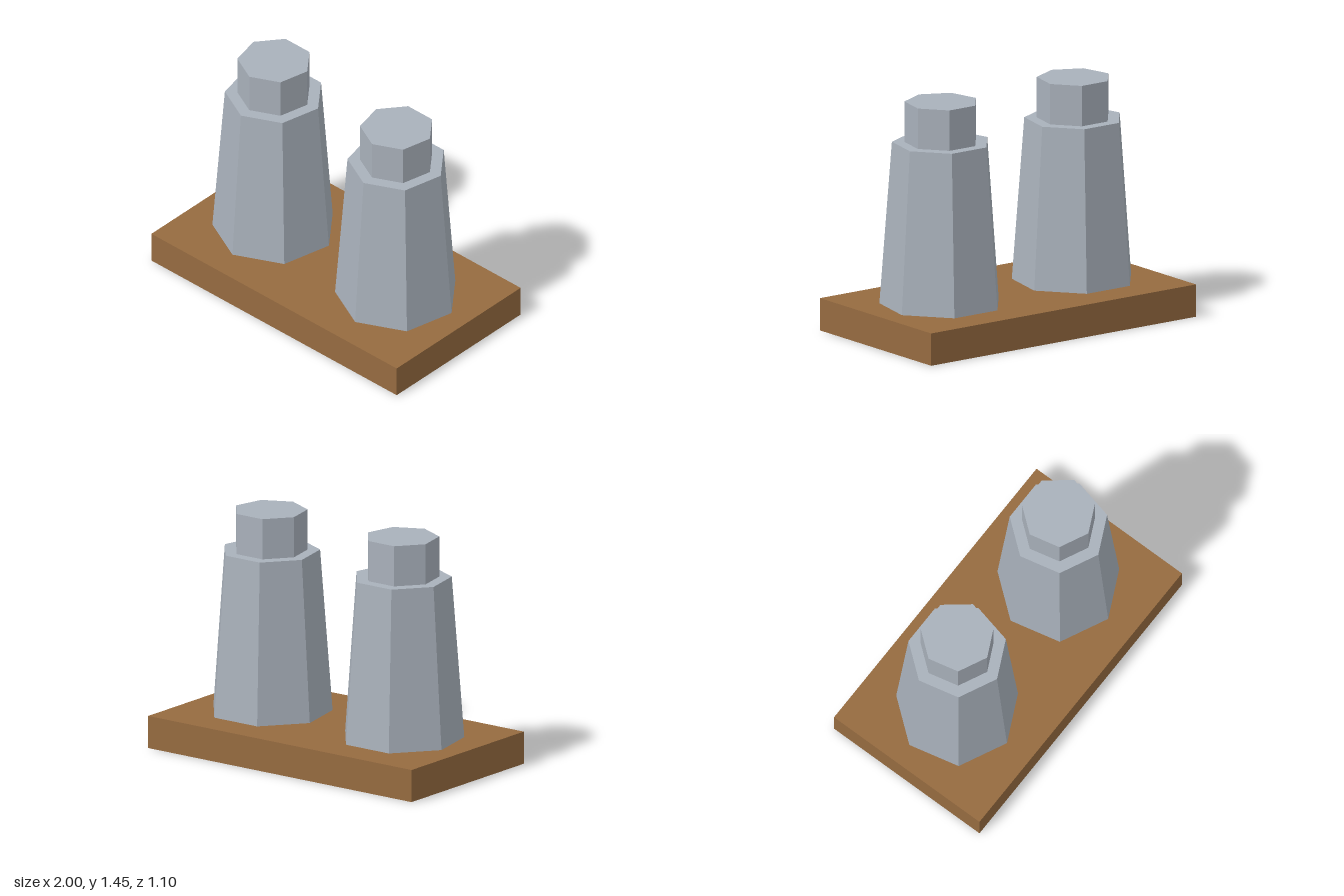
import * as THREE from 'three';

export function createModel() {
  const model = new THREE.Group();
  const wood = new THREE.MeshStandardMaterial({ color: 0x966b40, flatShading: true });
  wood.name = 'wood';
  const steel = new THREE.MeshStandardMaterial({ color: 0xa9b1bb, flatShading: true });
  steel.name = 'paleSteel';

  function add(parent, name, geometry, material, x, y) {
    const mesh = new THREE.Mesh(geometry, material);
    mesh.name = name;
    mesh.position.set(x, y, 0);
    parent.add(mesh);
  }

  // Wooden tray
  add(model, 'tray', new THREE.BoxGeometry(2, 0.2, 1.1), wood, 0, 0.1);

  // Two seven-sided shakers, each a tapered body with a straight cap
  for (const side of [-1, 1]) {
    const shaker = new THREE.Group();
    shaker.name = side > 0 ? 'leftShaker' : 'rightShaker';
    shaker.position.x = side * 0.5;
    add(shaker, 'body', new THREE.CylinderGeometry(0.3, 0.375, 1, 7), steel, 0, 0.7);
    add(shaker, 'cap', new THREE.CylinderGeometry(0.225, 0.225, 0.25, 7), steel, 0, 1.325);
    model.add(shaker);
  }
  return model;
}
